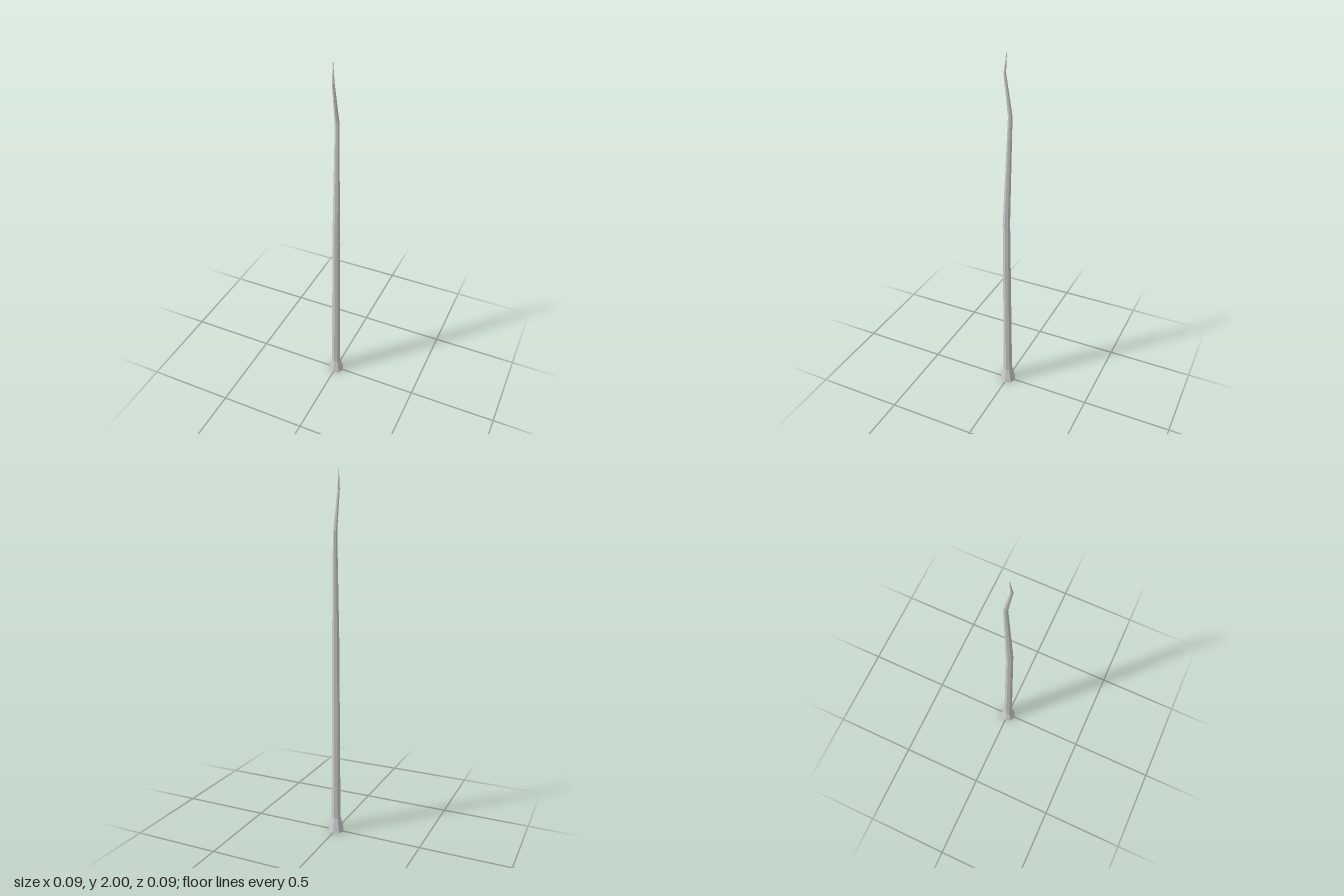
import * as THREE from 'three';

// Cross-sections from base to tip: [height, radius, centre x, centre z]
const RINGS = [
  [0, 0.047, 0, 0],
  [0.08, 0.027, 0, 0.001],
  [1.09, 0.021, 0.005, 0.007],
  [1.69, 0.012, 0, -0.012],
  [1.9, 0.007, -0.005, 0.02],
  [2, 0.001, -0.01, 0.011],
];

export function createModel() {
  const group = new THREE.Group();
  group.name = 'crookedSpike';

  // Eight-sided column, each ring scaled and shifted to its cross-section
  const steps = RINGS.length - 1;
  const geometry = new THREE.CylinderGeometry(1, 1, 1, 8, steps);
  const pos = geometry.attributes.position;
  for (let i = 0; i < pos.count; i++) {
    const [y, r, cx, cz] = RINGS[Math.round((pos.getY(i) + 0.5) * steps)];
    pos.setXYZ(i, pos.getX(i) * r + cx, y, pos.getZ(i) * r + cz);
  }
  geometry.computeVertexNormals();

  const material = new THREE.MeshStandardMaterial({ color: 0xcccccc, flatShading: true });
  const shaft = new THREE.Mesh(geometry, material);
  shaft.name = 'taperedShaft';
  group.add(shaft);
  return group;
}
